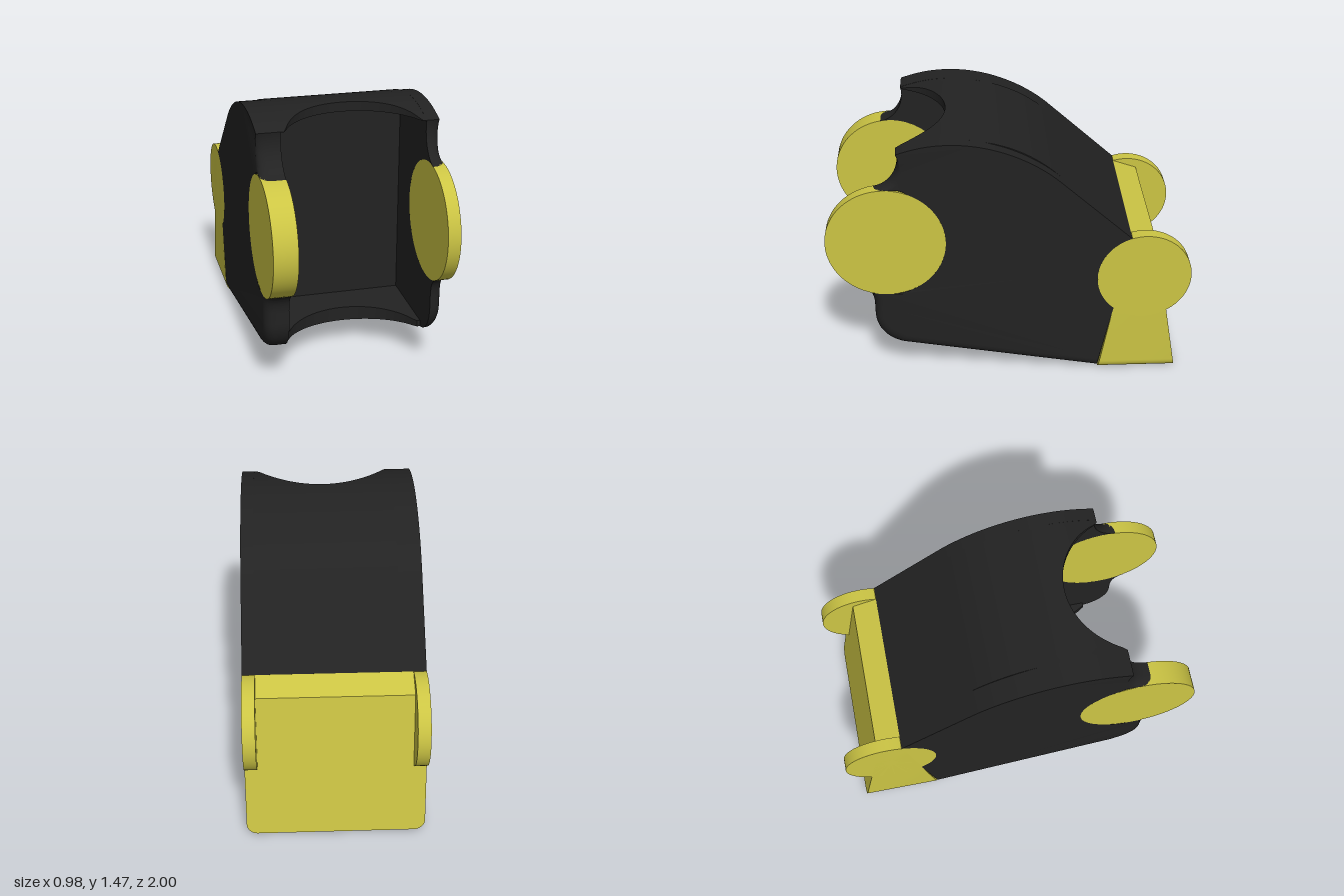
import * as THREE from 'three';
import { toCreasedNormals } from 'three/addons/utils/BufferGeometryUtils.js';

const black = new THREE.MeshStandardMaterial({ color: 0x222222 });
const yellow = new THREE.MeshStandardMaterial({ color: 0xccc544 });

const OUT = 0.49, IN_L = 0.42, IN_R = -0.36; // outer half width, inner wall faces
const POCKET = 0.14;                         // z of the pocket's back wall
const DISC = { z: 0.675, y: 0.88, r: 0.325 };
const HINGE = { z: -0.74, y: 0.63, r: 0.26 };

const clamp01 = v => THREE.MathUtils.clamp(v, 0, 1);
const lerp = THREE.MathUtils.lerp;
const bottomY = z => 0.01 + (z + 0.5) * 0.177;
const topY = z => 1.465 - 0.65 * (z - 0.32) ** 2;

// Moves every vertex by a rule, then rebuilds normals with sharp edges kept
function reshape(geo, rule) {
  const p = geo.attributes.position, v = new THREE.Vector3();
  for (let i = 0; i < p.count; i++) {
    v.fromBufferAttribute(p, i);
    rule(v);
    p.setXYZ(i, v.x, v.y, v.z);
  }
  return toCreasedNormals(geo, 0.5);
}

// Extrudes a (z, y) profile so that x runs from 0 to -1
function extrudeX(shape, steps) {
  return new THREE.ExtrudeGeometry(shape, { depth: 1, steps, bevelEnabled: false, curveSegments: 28 }).rotateY(-Math.PI / 2);
}

// Side wall outline, cut out around both discs
function wallShape() {
  const s = new THREE.Shape();
  s.moveTo(-0.5, 0.01);
  s.lineTo(0.6, 0.205);
  s.bezierCurveTo(0.7, 0.225, 0.755, 0.31, 0.755, 0.4);
  s.lineTo(0.755, 0.46);
  s.quadraticCurveTo(0.755, 0.565, 0.827, 0.59);
  s.absarc(DISC.z, DISC.y, DISC.r, -1.094, 1.416, true);
  s.bezierCurveTo(0.65, 1.21, 0.575, 1.3, 0.6, 1.415);
  s.bezierCurveTo(0.5, 1.45, 0.42, 1.465, 0.32, 1.465);
  s.bezierCurveTo(0.1, 1.465, -0.12, 1.368, -0.27, 1.23);
  s.lineTo(-0.66, 0.878);
  s.absarc(HINGE.z, HINGE.y, HINGE.r, 1.26, -0.89, true);
  s.closePath();
  return s;
}

// Wall with its outer bottom and front edges rounded
function wallGeometry(side) {
  const r = 0.06, steps = 7;
  const inner = side > 0 ? OUT - IN_L : OUT + IN_R;
  return reshape(extrudeX(wallShape(), steps), v => {
    const a = (side > 0 ? -v.x : 1 + v.x) * steps / (steps - 1);
    const t = a > 1.001 ? inner : r * (1 - Math.cos(a * Math.PI / 2));
    const d = t >= r ? 0 : r - Math.sqrt(Math.max(0, r * r - (r - t) ** 2));
    const low = 1 - clamp01((v.y - bottomY(v.z)) / 0.15);
    const front = clamp01((v.z - 0.55) / 0.1) * clamp01((1.42 - v.y) / 0.1);
    v.y += d * low;
    v.z -= d * front;
    // keep the rounded edge outside the front disc
    const dz = v.z - DISC.z, dy = v.y - DISC.y, q = Math.hypot(dz, dy);
    if (q < DISC.r) {
      v.z = DISC.z + dz / q * DISC.r;
      v.y = DISC.y + dy / q * DISC.r;
    }
    v.x = side * (OUT - t);
  });
}

// Solid rear part between the walls
function coreGeometry() {
  const s = new THREE.Shape();
  s.moveTo(-0.5, 0.01);
  s.lineTo(POCKET, bottomY(POCKET));
  s.lineTo(POCKET, topY(POCKET));
  s.bezierCurveTo(0, 1.42, -0.14, 1.355, -0.27, 1.23);
  s.lineTo(-0.66, 0.878);
  s.lineTo(-0.57, 0.42);
  s.closePath();
  return reshape(extrudeX(s, 1), v => { v.x = IN_L + v.x * (IN_L - IN_R); });
}

// Plate over or under the pocket, its front scooped by a round bore
function plateGeometry(lowY, highY) {
  return reshape(new THREE.BoxGeometry(1, 1, 1, 48, 1, 12), v => {
    v.x = lerp(IN_R, IN_L, v.x + 0.5);
    const edge = 0.73 - Math.sqrt(Math.max(0, 0.39 ** 2 - (v.x - 0.03) ** 2));
    v.z = lerp(POCKET, Math.min(0.6, edge), v.z + 0.5);
    v.y = v.y > 0 ? highY(v.z) : lowY(v.z);
  });
}

// Tapered rear block with rounded lower corners
function blockGeometry() {
  const r = 0.06, s = new THREE.Shape();
  s.moveTo(-OUT + r, 0);
  s.lineTo(OUT - r, 0);
  s.absarc(OUT - r, r, r, -Math.PI / 2, 0, false);
  s.lineTo(OUT, 0.88);
  s.lineTo(-OUT, 0.88);
  s.lineTo(-OUT, r);
  s.absarc(-OUT + r, r, r, Math.PI, Math.PI * 1.5, false);
  const geo = new THREE.ExtrudeGeometry(s, { depth: 1, bevelEnabled: false, curveSegments: 10 });
  return reshape(geo, v => {
    const front = v.z > 0.5;
    if (!front && v.y > 0.8) v.y = 0.83;
    if (front) v.y = Math.max(v.y, 0.01);
    v.z = front ? -0.5 - 0.175 * v.y : -0.945 + 0.175 * v.y;
  });
}

export function createModel() {
  const model = new THREE.Group();
  const add = (name, geo, material) => {
    const mesh = new THREE.Mesh(geo, material);
    mesh.name = name;
    model.add(mesh);
    return mesh;
  };

  // Hollow body
  add('bodyCore', coreGeometry(), black);
  add('topPlate', plateGeometry(() => 1.412, topY), black);
  add('bottomPlate', plateGeometry(bottomY, () => 0.24), black);

  // Walls and discs on both sides
  for (const side of [1, -1]) {
    const tag = side > 0 ? 'left' : 'right';
    add(tag + 'Wall', wallGeometry(side), black);
    const disc = (name, c, inner) => {
      const geo = new THREE.CylinderGeometry(c.r, c.r, OUT - inner, 72).rotateZ(Math.PI / 2);
      add(tag + name, geo, yellow).position.set(side * (OUT + inner) / 2, c.y, c.z);
    };
    disc('FrontDisc', DISC, side > 0 ? IN_L : -IN_R);
    disc('RearDisc', HINGE, 0.42);
  }

  add('rearBlock', blockGeometry(), yellow);
  return model;
}
